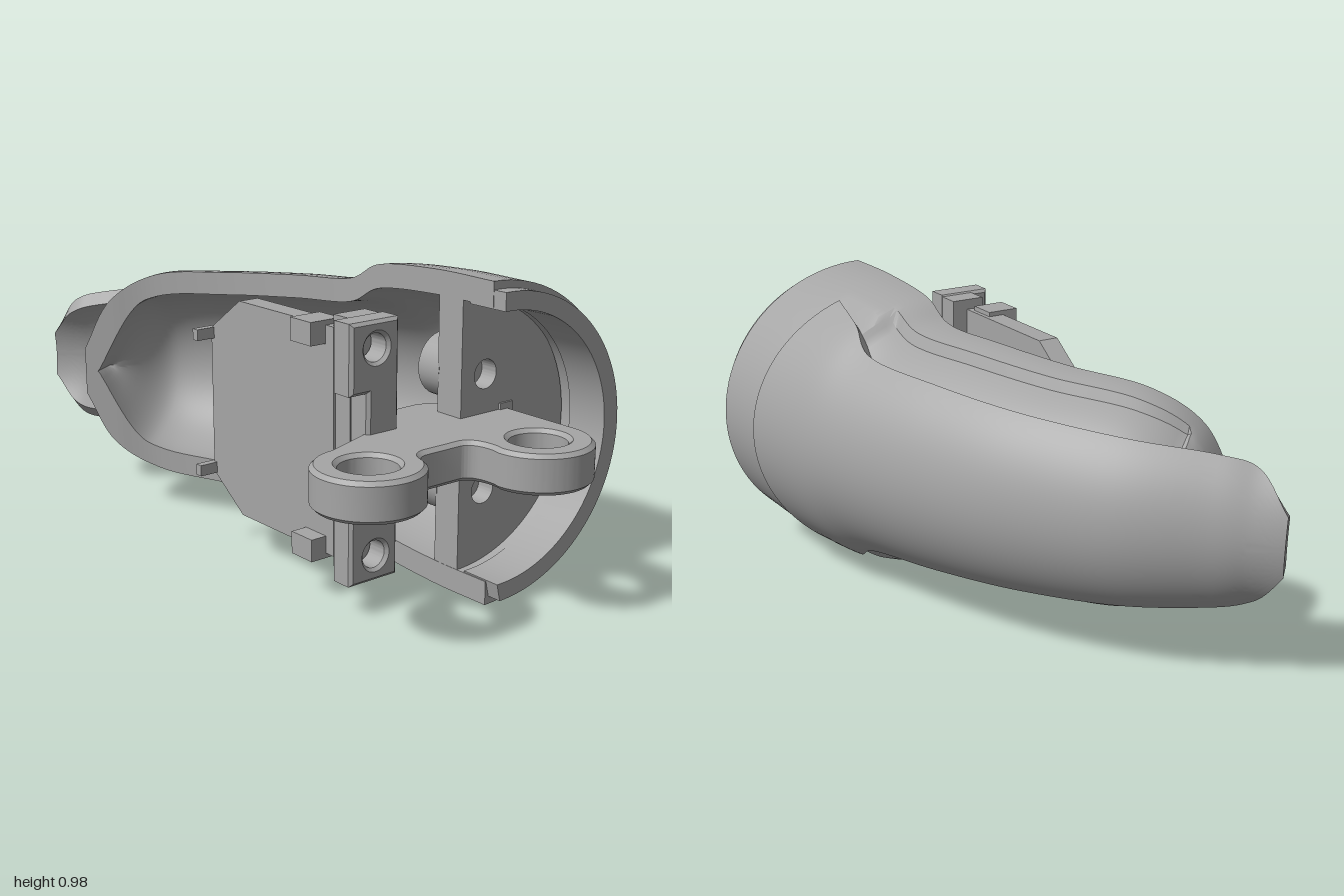
import * as THREE from 'three';
import { toCreasedNormals } from 'three/addons/utils/BufferGeometryUtils.js';

const grey = new THREE.MeshStandardMaterial({ color: 0xa6a6a6, side: THREE.DoubleSide });
grey.name = 'grey plastic';

const curve = (pts) => new THREE.CatmullRomCurve3(
  pts.map((p) => new THREE.Vector3(...p)), false, 'catmullrom', 0.5);

function add(parent, name, geometry) {
  const mesh = new THREE.Mesh(geometry, grey);
  mesh.name = name;
  parent.add(mesh);
  return mesh;
}

// Thick open shell: half-ellipse sections swept from the base to the tip.
// edges: [x, z, half height]; ridge: [x, z, arc half angle in degrees]
function sweepShell(edges, ridge, steps, wallAt, scale) {
  const N = 48, M = 2 * (N + 1), pos = [], idx = [];
  const E = curve(edges), P = curve(ridge);
  for (let i = 0; i <= steps; i++) {
    const t = i / steps, e = E.getPoint(t), p = P.getPoint(t), wall = wallAt(t);
    const dx = p.x - e.x, dz = p.y - e.y, len = Math.hypot(dx, dz);
    for (const side of [0, 1]) {
      for (let j = 0; j <= N; j++) {
        const k = side ? N - j : j;
        const f = THREE.MathUtils.degToRad(p.z) * (2 * k / N - 1);
        const r = side ? 1 : scale(t, Math.abs(THREE.MathUtils.radToDeg(f)));
        const d = Math.max(0.01, len - side * wall) / len * r;
        const h = Math.max(0, e.z - side * wall) * r;
        pos.push(e.x + dx * d * Math.cos(f), h * Math.sin(f), e.y + dz * d * Math.cos(f));
      }
    }
  }
  for (let i = 0; i < steps; i++) {
    for (let j = 0; j < M; j++) {
      const a = i * M + j, b = i * M + (j + 1) % M;
      idx.push(a, a + M, b, b, a + M, b + M);
    }
  }
  const last = steps * M;
  for (let j = 0; j < N; j++) {
    const q = [j, j + 1, M - 1 - j, M - 2 - j];
    idx.push(q[0], q[1], q[2], q[1], q[3], q[2]);
    idx.push(last + q[0], last + q[2], last + q[1], last + q[1], last + q[2], last + q[3]);
  }
  const g = new THREE.BufferGeometry();
  g.setAttribute('position', new THREE.Float32BufferAttribute(pos, 3));
  g.setIndex(idx);
  return toCreasedNormals(g, 0.5);
}

const polygon = (pts) => new THREE.Shape(pts.map(([x, y]) => new THREE.Vector2(x, y)));

function drill(shape, x, y, r) {
  const hole = new THREE.Path();
  hole.absarc(x, y, r, 0, Math.PI * 2, true);
  shape.holes.push(hole);
}

// Plate with its outline in x-y, running from z0 to z1
function plate(shape, z0, z1, bevel = 0) {
  const g = new THREE.ExtrudeGeometry(shape, {
    depth: z1 - z0 - 2 * bevel, curveSegments: 32, bevelEnabled: bevel > 0,
    bevelThickness: bevel, bevelSize: bevel, bevelOffset: -bevel, bevelSegments: 1,
  });
  g.translate(0, 0, z0 + bevel);
  return toCreasedNormals(g, 0.5);
}

const box = (x0, x1, y0, y1, z0, z1) =>
  new THREE.BoxGeometry(x1 - x0, y1 - y0, z1 - z0)
    .translate((x0 + x1) / 2, (y0 + y1) / 2, (z0 + z1) / 2);

// Upper (s = 1) or lower (s = -1) half of the bulkhead outline
function quarterDisc(r, s) {
  const pts = [[-0.013, 0]];
  for (let i = 0; i <= 24; i++) {
    const a = i / 24 * Math.PI / 2;
    pts.push([r * Math.cos(a), s * r * Math.sin(a)]);
  }
  pts.push([-0.013, s * r]);
  return polygon(pts);
}

export function createModel() {
  const model = new THREE.Group();
  model.name = 'fingerSegment';
  const body = new THREE.Group();
  body.name = 'body';
  body.position.y = 0.49;
  model.add(body);

  // Inner body: half-round base that narrows to a closed fingertip, with a side groove
  const { smoothstep } = THREE.MathUtils;
  add(body, 'innerBody', sweepShell(
    [[0.158, 0.695, 0.49], [0.101, 0.463, 0.49], [0.04, 0.22, 0.468], [0, 0.09, 0.405], [-0.1, -0.1, 0.39],
      [-0.25, -0.33, 0.37], [-0.43, -0.52, 0.345], [-0.57, -0.61, 0.25], [-0.65, -0.66, 0.08]],
    [[0.672, 0.565, 90], [0.598, 0.34, 90], [0.51, 0.15, 90], [0.43, 0, 90], [0.25, -0.28, 90],
      [0.05, -0.54, 90], [-0.2, -0.76, 90], [-0.38, -0.82, 90], [-0.47, -0.83, 90]],
    96, (t) => 0.075 + 0.1 * smoothstep(t * 8, 6.2, 7.3),
    (t, a) => {
      const s = t * 8;
      if (a > 73) return 1;
      const cover = a < 66 ? 0.03 * smoothstep(s, 1.1, 1.4) : 0;
      const groove = 0.08 * smoothstep(s, 2, 2.4) * (1 - smoothstep(s, 6.8, 6.95));
      return 1 - Math.max(cover, groove);
    }));

  // Outer cover over the back of the finger, reaching past the tip
  add(body, 'outerCover', sweepShell(
    [[0.05, 0.335, 0.499], [0.03, 0.2, 0.477], [0, 0.09, 0.43], [-0.1, -0.1, 0.41], [-0.25, -0.33, 0.385],
      [-0.45, -0.53, 0.36], [-0.65, -0.66, 0.33], [-0.74, -0.72, 0.3], [-0.8, -0.78, 0.3]],
    [[0.611, 0.355, 63], [0.52, 0.15, 58], [0.438, 0, 51], [0.258, -0.28, 49], [0.055, -0.54, 48],
      [-0.2, -0.775, 47], [-0.45, -0.91, 46], [-0.56, -0.96, 43], [-0.643, -1, 18]],
    72, () => 0.055, () => 1));

  // Everything below sits square to the tilted base
  const base = new THREE.Group();
  base.name = 'base';
  base.rotation.y = 0.244;
  body.add(base);

  // Recessed lip at the open end
  const lip = new THREE.Shape();
  lip.moveTo(-0.013, -0.465);
  lip.absellipse(0, 0, 0.49, 0.465, -Math.PI / 2, Math.PI / 2, false);
  lip.lineTo(-0.013, 0.465);
  lip.lineTo(-0.013, 0.41);
  lip.absellipse(0, 0, 0.43, 0.41, Math.PI / 2, -Math.PI / 2, true);
  lip.lineTo(-0.013, -0.41);
  add(base, 'lip', plate(lip, 0.62, 0.76));

  // Bulkhead with two screw holes, bosses behind them and a small key plate
  for (const s of [-1, 1]) {
    const face = quarterDisc(0.425, s);
    drill(face, 0.085, s * 0.18, 0.045);
    add(base, 'bulkhead', plate(face, 0.53, 0.59));
    add(base, 'bulkheadBack', plate(quarterDisc(0.425, s), 0.49, 0.53));
    const boss = new THREE.CylinderGeometry(0.1, 0.1, 0.09, 32);
    boss.rotateX(Math.PI / 2).translate(0.085, s * 0.18, 0.45);
    add(base, 'screwBoss', boss);
  }
  add(base, 'keyPlate', box(0.145, 0.197, -0.08, 0.08, 0.58, 0.597));

  // Mounting bracket with two drilled ears
  const ears = polygon([[-0.215, -0.39], [-0.215, 0.39], [-0.395, 0.39], [-0.395, 0.18],
    [-0.332, 0.18], [-0.332, -0.18], [-0.395, -0.18], [-0.395, -0.39]]);
  for (const s of [-1, 1]) drill(ears, -0.3, s * 0.31, 0.042);
  add(base, 'bracketEars', plate(ears, 0.46, 0.545, 0.01));
  add(base, 'bracketColumn', box(-0.332, -0.215, -0.385, 0.385, 0.39, 0.465));

  // Thin pad plate with chamfered far corners, drawn as (z, y) and stood upright
  const pad = polygon([[0.4, -0.35], [0.4, 0.35], [-0.06, 0.35], [-0.215, 0.24],
    [-0.215, -0.24], [-0.06, -0.35]]);
  add(base, 'padPlate', plate(pad, 0.27, 0.34).rotateY(-Math.PI / 2));

  // Clips and end tabs, mirrored top and bottom
  for (const s of [-1, 1]) {
    const clipY = s * 0.33, tabY = s * 0.225;
    add(base, 'clip', box(-0.395, -0.285, clipY - 0.035, clipY + 0.035, 0.268, 0.365));
    add(base, 'tab', box(-0.404, -0.268, tabY - 0.018, tabY + 0.018, -0.226, -0.2));
  }

  // Hinge link with two pivot rings, drawn in plan as (x, -z)
  const link = new THREE.Shape();
  const deg = Math.PI / 180;
  link.moveTo(-0.182, -0.648);
  link.absarc(-0.3, -0.832, 0.16, 106 * deg, 345 * deg, false);
  link.quadraticCurveTo(-0.15, -0.81, -0.1, -0.8);
  link.lineTo(0.02, -0.772);
  link.quadraticCurveTo(0.065, -0.77, 0.08, -0.85);
  link.absarc(0.235, -0.832, 0.16, 195 * deg, 374 * deg, false);
  for (const [x, y] of [[0.33, -0.55], [0.3, -0.42], [0.09, -0.37], [-0.1, -0.42], [-0.195, -0.58]]) {
    link.lineTo(x, y);
  }
  link.closePath();
  for (const x of [-0.3, 0.235]) drill(link, x, -0.832, 0.085);
  const linkMesh = add(body, 'hingeLink', plate(link, -0.06, 0.06, 0.012));
  linkMesh.rotation.x = -Math.PI / 2;

  return model;
}
